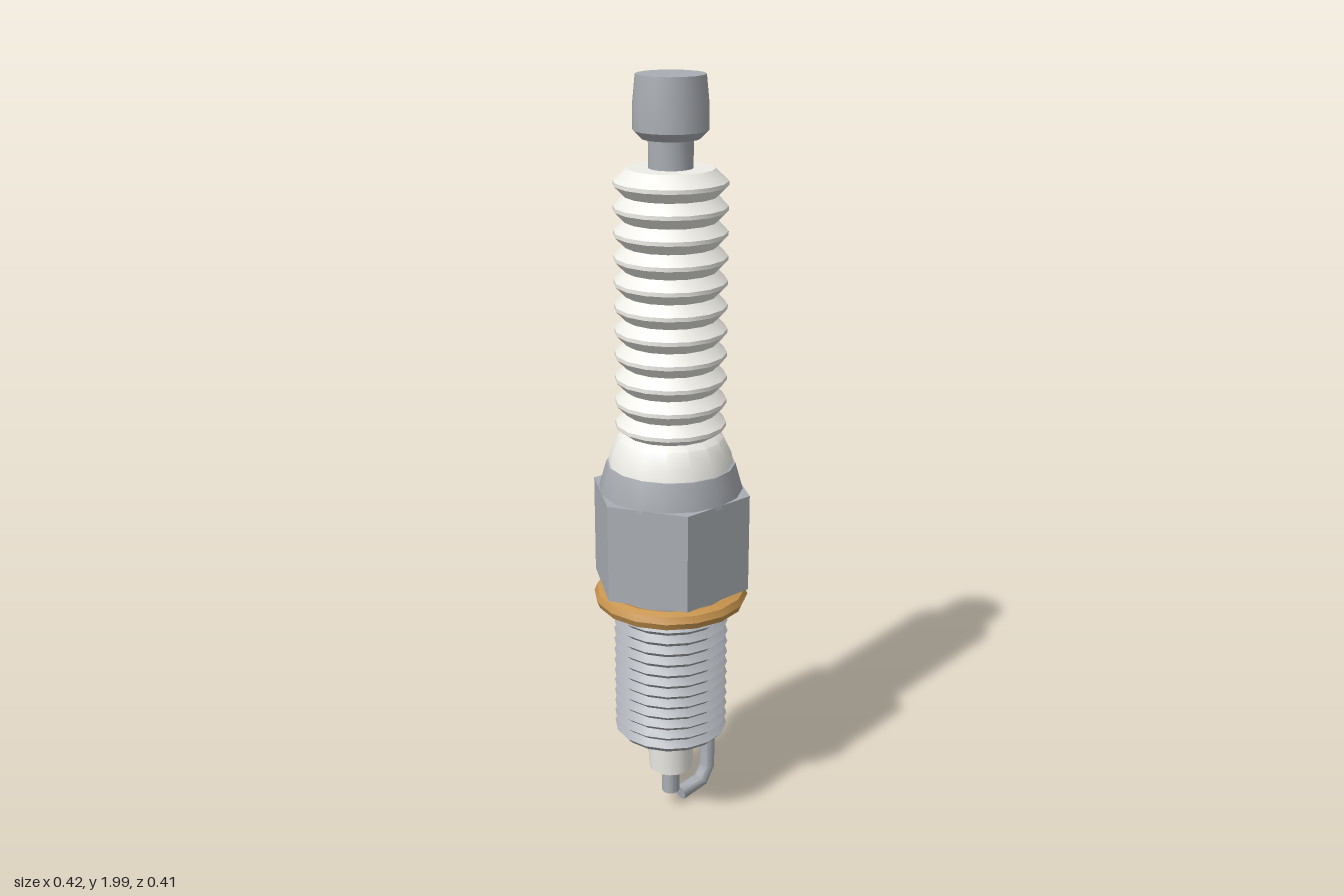
import * as THREE from 'three';
import { toCreasedNormals } from 'three/addons/utils/BufferGeometryUtils.js';

const SIDES = 16;
const metal = new THREE.MeshStandardMaterial({ color: 0xa9adb3 });
const ceramic = new THREE.MeshStandardMaterial({ color: 0xeeede7 });
const copper = new THREE.MeshStandardMaterial({ color: 0xc8954f });

// Turned part from a bottom-to-top profile of [radius, height]
function turned(name, profile, material) {
  const points = profile.map(([r, y]) => new THREE.Vector2(r, y));
  const geometry = toCreasedNormals(new THREE.LatheGeometry(points, SIDES), 0.5);
  const mesh = new THREE.Mesh(geometry, material);
  mesh.name = name;
  return mesh;
}

// Path of straight segments with mitred bends
class Polyline extends THREE.Curve {
  constructor(points) {
    super();
    this.points = points;
  }
  getPoint(t, target = new THREE.Vector3()) {
    const last = this.points.length - 1;
    const i = Math.min(Math.floor(t * last + 1e-6), last - 1);
    return target.lerpVectors(this.points[i], this.points[i + 1], t * last - i);
  }
  getPointAt(u, target) {
    return this.getPoint(u, target);
  }
  getTangentAt(u, target = new THREE.Vector3()) {
    const last = this.points.length - 1;
    const i = Math.round(u * last);
    const p = this.points;
    target.set(0, 0, 0);
    if (i > 0) target.add(p[i].clone().sub(p[i - 1]).normalize());
    if (i < last) target.add(p[i + 1].clone().sub(p[i]).normalize());
    return target.normalize();
  }
}

// Bent ground electrode with closed ends
function groundElectrode() {
  const group = new THREE.Group();
  group.name = 'groundElectrode';
  const radius = 0.021;
  const points = [[0.137, 0.27], [0.137, 0.08], [0.113, 0.041], [0.036, 0.029]]
    .map(([x, y]) => new THREE.Vector3(x, y, 0));
  const path = new Polyline(points);
  const tube = new THREE.TubeGeometry(path, points.length - 1, radius, 8);
  const rod = new THREE.Mesh(toCreasedNormals(tube, 0.85), metal);
  rod.name = 'groundElectrodeRod';
  const tip = new THREE.Mesh(new THREE.CircleGeometry(radius, 8), metal);
  tip.name = 'groundElectrodeTip';
  tip.position.copy(points[3]);
  tip.lookAt(points[3].clone().add(path.getTangentAt(1)));
  group.add(rod, tip);
  return group;
}

export function createModel() {
  const model = new THREE.Group();
  model.name = 'sparkPlug';

  // Terminal cap on a thin neck
  model.add(turned('terminal', [
    [0.055, 1.76], [0.055, 1.85], [0.072, 1.85], [0.092, 1.87],
    [0.092, 1.93], [0.085, 2.0], [0, 2.0],
  ], metal));

  // Ribbed insulator above a flared foot
  const ribs = 11;
  const pitch = 0.061;
  const insulator = [[0.163, 1.02], [0.155, 1.06], [0.135, 1.1]];
  for (let i = 0; i < ribs; i++) {
    const y = 1.135 + i * pitch;
    if (i > 0) insulator.push([0.116, y - pitch / 2]);
    else insulator.push([0.118, y - 0.022]);
    insulator.push([0.141, y - 0.005], [0.141, y + 0.005]);
  }
  insulator.push([0.108, 1.78], [0, 1.78]);
  model.add(turned('insulator', insulator, ceramic));

  // Conical collar between insulator and hexagon
  model.add(turned('collar', [[0.186, 0.95], [0.186, 0.96], [0.166, 1.03], [0.15, 1.03]], metal));

  // Wrench hexagon with corners on the x axis
  const hexagon = new THREE.Mesh(
    toCreasedNormals(new THREE.CylinderGeometry(0.212, 0.212, 0.26, 6), 0.5), metal);
  hexagon.name = 'hexagon';
  hexagon.rotation.y = Math.PI / 6;
  hexagon.position.y = 0.83;
  model.add(hexagon);

  // Sealing ring
  const ring = [];
  for (let i = 0; i <= 8; i++) {
    const a = -Math.PI / 2 + (i / 8) * Math.PI * 2;
    ring.push([0.178 + 0.025 * Math.cos(a), 0.662 + 0.025 * Math.sin(a)]);
  }
  model.add(turned('gasket', ring, copper));

  // Threaded shell with a flat lower end
  const turns = 12;
  const step = 0.031;
  const thread = [[0, 0.257], [0.138, 0.257]];
  for (let i = 0; i < turns; i++) {
    const y = 0.257 + i * step;
    thread.push([0.152, y + step / 2], [0.134, y + step]);
  }
  thread.push([0.155, 0.64], [0.155, 0.71]);
  model.add(turned('threadedShell', thread, metal));

  // Insulator nose and centre electrode
  model.add(turned('insulatorNose', [[0, 0.135], [0.059, 0.135], [0.067, 0.265]], ceramic));
  model.add(turned('centreElectrode', [[0, 0.055], [0.024, 0.055], [0.024, 0.14]], metal));

  model.add(groundElectrode());
  return model;
}
